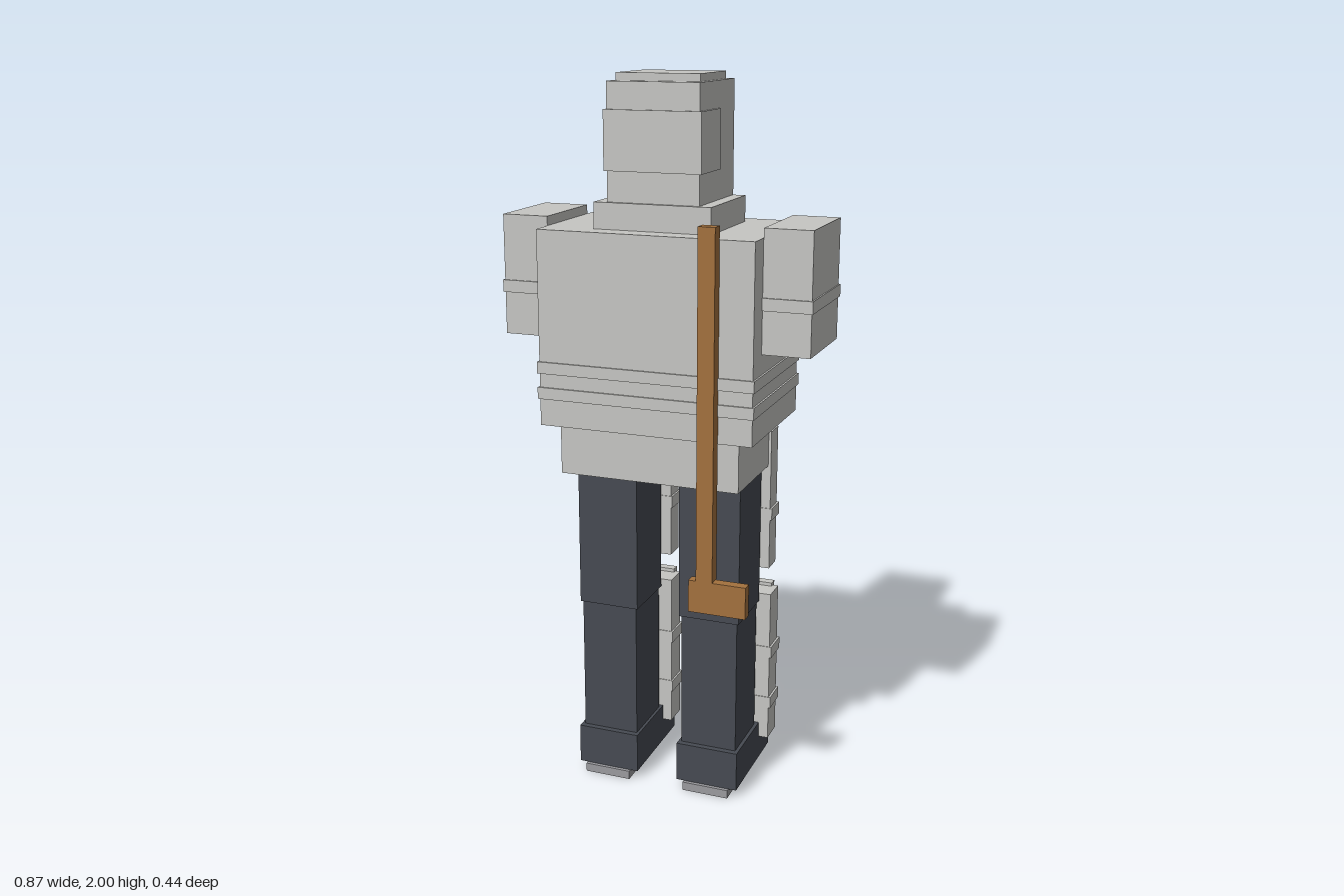
import * as THREE from 'three';

const make = (name, color) => {
  const m = new THREE.MeshStandardMaterial({ color });
  m.name = name;
  return m;
};

export function createModel() {
  const root = new THREE.Group();
  root.name = 'goalkeeper';
  const pale = make('pale grey', 0xc6c6c3);
  const dark = make('charcoal', 0x464a52);
  const plate = make('plate grey', 0x9b9b9f);
  const steel = make('steel grey', 0x7d7f84);
  const wood = make('wood', 0xa3713e);

  // box given by its limits on each axis
  const box = (parent, name, mat, [x0, x1], [y0, y1], [z0, z1]) => {
    const mesh = new THREE.Mesh(new THREE.BoxGeometry(x1 - x0, y1 - y0, z1 - z0), mat);
    mesh.position.set((x0 + x1) / 2, (y0 + y1) / 2, (z0 + z1) / 2);
    mesh.name = name;
    parent.add(mesh);
  };
  // limits mirrored to the other side when s is -1
  const side = (s, a, b) => (s > 0 ? [a, b] : [-b, -a]);
  const group = (name) => {
    const g = new THREE.Group();
    g.name = name;
    root.add(g);
    return g;
  };

  // torso with two padded ridges and a chest panel
  const body = group('body');
  box(body, 'torso', pale, [-0.3, 0.3], [1.075, 1.605], [-0.211, 0.185]);
  for (const y of [1.165, 1.235])
    box(body, 'torsoRidge', pale, [-0.305, 0.305], [y - 0.016, y + 0.016], [-0.217, 0.19]);
  box(body, 'chestPanel', plate, [-0.232, 0.232], [1.31, 1.56], [-0.222, -0.21]);
  box(body, 'pelvis', pale, [-0.255, 0.255], [0.935, 1.075], [-0.168, 0.155]);
  box(body, 'collar', pale, [-0.162, 0.162], [1.605, 1.675], [-0.152, 0.125]);

  // helmet
  const head = group('head');
  box(head, 'helmet', pale, [-0.127, 0.127], [1.675, 1.98], [-0.152, 0.115]);
  box(head, 'helmetBack', pale, [-0.134, 0.134], [1.755, 1.91], [-0.025, 0.121]);
  box(head, 'helmetTop', pale, [-0.115, 0.115], [1.98, 2.0], [-0.117, 0.079]);

  // face cage
  box(head, 'faceOpening', dark, [-0.081, 0.081], [1.71, 1.89], [-0.165, -0.15]);
  for (const x of [-0.047, 0, 0.047])
    box(head, 'cageBar', steel, [x - 0.011, x + 0.011], [1.72, 1.88], [-0.177, -0.164]);
  box(head, 'cageCrossBar', steel, [-0.087, 0.087], [1.798, 1.818], [-0.183, -0.176]);

  for (const s of [1, -1]) {
    const label = s > 0 ? 'left' : 'right';
    // arm
    const arm = group(label + 'Arm');
    box(arm, 'armPad', pale, side(s, 0.3, 0.43), [1.305, 1.63], [-0.14, 0.117]);
    box(arm, 'armRidge', pale, side(s, 0.298, 0.434), [1.42, 1.453], [-0.146, 0.122]);

    // leg, shoe and skate runner
    const leg = group(label + 'Leg');
    box(leg, 'thigh', dark, side(s, 0.063, 0.238), [0.53, 0.94], [-0.1, 0.085]);
    box(leg, 'shin', dark, side(s, 0.069, 0.232), [0.13, 0.53], [-0.095, 0.08]);
    box(leg, 'skateBoot', dark, side(s, 0.061, 0.242), [0.025, 0.14], [-0.206, 0.097]);
    box(leg, 'skateRunner', plate, side(s, 0.083, 0.219), [0, 0.025], [-0.216, 0.107]);

    // thigh pad
    box(leg, 'thighPad', pale, side(s, 0.036, 0.263), [0.63, 1.035], [-0.17, -0.108]);
    box(leg, 'thighPadRidge', pale, side(s, 0.031, 0.269), [0.775, 0.81], [-0.176, -0.106]);

    // shin pad with ridges and knee block
    box(leg, 'shinPad', pale, side(s, 0.034, 0.27), [0.095, 0.55], [-0.181, -0.108]);
    for (const y of [0.21, 0.37])
      box(leg, 'shinPadRidge', pale, side(s, 0.029, 0.276), [y - 0.017, y + 0.017], [-0.187, -0.106]);
    box(leg, 'kneeBlock', pale, side(s, 0.05, 0.254), [0.475, 0.56], [-0.195, -0.17]);
  }

  // stick carried on one side
  const stick = group('stick');
  box(stick, 'stickShaft', wood, [0.161, 0.207], [0.7, 1.64], [0.185, 0.219]);
  box(stick, 'stickBlade', wood, [0.14, 0.3], [0.61, 0.7], [0.19, 0.219]);

  return root;
}
